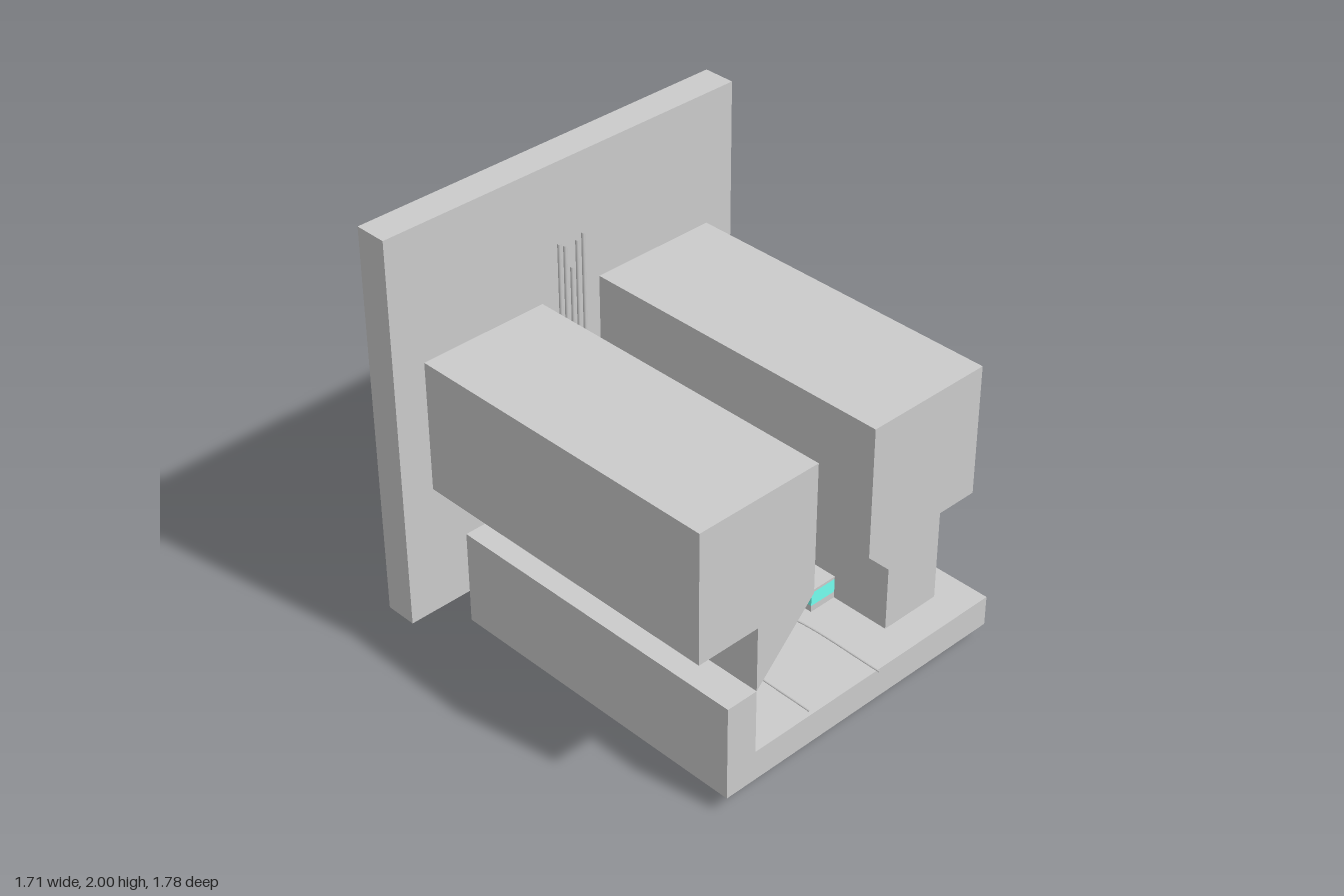
import * as THREE from 'three';

export function createModel() {
  const root = new THREE.Group();
  const grey = new THREE.MeshStandardMaterial({ color: 0xcccccc });
  const teal = new THREE.MeshStandardMaterial({ color: 0x74fff0 });

  const add = (name, geometry, material = grey) => {
    const mesh = new THREE.Mesh(geometry, material);
    mesh.name = name;
    root.add(mesh);
    return mesh;
  };
  // Box given by its limits on each axis
  const box = (name, [x0, x1], [y0, y1], [z0, z1], material) =>
    add(name, new THREE.BoxGeometry(x1 - x0, y1 - y0, z1 - z0), material)
      .position.set((x0 + x1) / 2, (y0 + y1) / 2, (z0 + z1) / 2);
  // Prism along x from a [z, y] outline
  const prism = (name, outline, x0, x1, material) => {
    const shape = new THREE.Shape(outline.map(([z, y]) => new THREE.Vector2(-z, y)));
    const geometry = new THREE.ExtrudeGeometry(shape, { depth: x1 - x0, bevelEnabled: false });
    geometry.rotateY(Math.PI / 2).translate(x0, 0, 0);
    return add(name, geometry, material);
  };
  const cylinder = (name, r, h, x, y, z, axis = 'y', material) => {
    const mesh = add(name, new THREE.CylinderGeometry(r, r, h, 32), material);
    mesh.position.set(x, y, z);
    if (axis === 'x') mesh.rotation.z = Math.PI / 2;
    if (axis === 'z') mesh.rotation.x = Math.PI / 2;
    return mesh;
  };
  // Straight runs joined by short rounded bends
  const pipe = (name, points, r) => {
    const p = points.map((q) => new THREE.Vector3(...q));
    const path = new THREE.CurvePath();
    let from = p[0];
    for (let i = 1; i < p.length - 1; i++) {
      const a = p[i].clone().add(p[i - 1].clone().sub(p[i]).setLength(0.03));
      const b = p[i].clone().add(p[i + 1].clone().sub(p[i]).setLength(0.03));
      path.add(new THREE.LineCurve3(from, a));
      path.add(new THREE.QuadraticBezierCurve3(a, p[i], b));
      from = b;
    }
    path.add(new THREE.LineCurve3(from, p[p.length - 1]));
    add(name, new THREE.TubeGeometry(path, 80, r, 8));
  };
  const cable = (points) => {
    const curve = new THREE.CatmullRomCurve3(points.map(([x, z]) => new THREE.Vector3(x, 0.23, z)));
    add('floorCable', new THREE.TubeGeometry(curve, 60, 0.004, 6));
  };

  // Room shell
  box('endWall', [-0.8, -0.655], [0.225, 2], [-0.89, 0.89]);
  box('floor', [-0.65, 0.83], [0.08, 0.22], [-0.89, 0.595]);
  box('sideWall', [-0.65, 0.83], [0.22, 0.52], [0.445, 0.595]);
  box('sideCabinet', [-0.21, 0.68], [0.22, 0.67], [-0.74, -0.445]);
  box('cornerColumn', [-0.86, -0.41], [0, 0.6], [-0.745, -0.445]);
  box('centreCabinet', [-0.655, -0.565], [0.22, 0.545], [-0.145, 0.15]);

  for (const s of [1, -1]) {
    // Overhead block with a slanted inner underside
    const outline = [[0.745, 1.41], [0.745, 0.82], [0.445, 0.82], [0.445, 0.52], [0.15, 0.82], [0.15, 1.41]];
    prism('overheadBlock', outline.map(([z, y]) => [z * s, y]), -0.65, 0.83);

    // Round lamp on the slanted face
    cylinder('slopeLamp', 0.125, 0.035, 0.1, 0.665, s * 0.29).rotation.x = s * Math.PI / 4;

    // Porthole on the end wall
    cylinder('portholeGlass', 0.036, 0.02, -0.647, 0.625, s * 0.08, 'x');
    const ring = add('portholeRing', new THREE.TorusGeometry(0.046, 0.009, 10, 36));
    ring.rotation.y = Math.PI / 2;
    ring.position.set(-0.645, 0.625, s * 0.08);

    // Low bench with a coloured cushion
    box('benchBase', [-0.4, 0.4], [0.22, 0.25], s > 0 ? [0.315, 0.445] : [-0.445, -0.31]);
    box('benchCushion', [-0.4, 0.4], [0.25, 0.315], s > 0 ? [0.315, 0.445] : [-0.445, -0.31], teal);
    box('benchTop', [-0.4, 0.4], [0.315, 0.327], s > 0 ? [0.315, 0.445] : [-0.445, -0.31]);
  }

  // Wall pipes fanning out below the clamp
  const X = -0.64, R = 0.008;
  pipe('wallPipe', [[X, 1.65, 0.063], [X, 0.84, 0.063], [X, 0.7, 0.203], [X, 0.44, 0.203], [X, 0.37, 0.203], [X, 0.37, 0.28]], R);
  pipe('wallPipe', [[X, 1.63, 0.033], [X, 0.82, 0.033], [X, 0.68, 0.173], [X, 0.4, 0.173]], R);
  pipe('wallPipe', [[X, 1.52, 0], [X, 0.54, 0]], R);
  pipe('wallPipe', [[X, 1.63, -0.03], [X, 0.82, -0.03], [X, 0.68, -0.17], [X, 0.43, -0.17], [X, 0.43, -0.25]], R);
  pipe('wallPipe', [[X, 1.65, -0.062], [X, 0.84, -0.062], [X, 0.52, -0.382], [X, 0.33, -0.382]], R);
  box('pipeClamp', [-0.66, -0.625], [0.845, 0.86], [-0.08, 0.08]);
  for (let i = -2; i <= 2; i++) cylinder('clampBolt', 0.006, 0.01, -0.63, 0.863, i * 0.03);

  // Pump on the left wall
  prism('pumpHousing', [[0.42, 0.26], [0.27, 0.26], [0.27, 0.52], [0.42, 0.52]], -0.65, -0.56);
  prism('pumpCover', [[0.405, 0.34], [0.275, 0.34], [0.275, 0.44], [0.31, 0.48], [0.37, 0.48], [0.405, 0.44]], -0.57, -0.53, teal);
  for (const y of [0.435, 0.415]) cylinder('pipeFlange', 0.03, 0.01, X, y, 0.2);
  for (const z of [0.235, 0.255]) cylinder('pipeFlange', 0.032, 0.01, X, 0.375, z, 'z');
  box('sidePanel', [-0.62, -0.3], [0.33, 0.5], [0.425, 0.447]);

  // Valve on the right wall
  cylinder('valvePipe', 0.028, 0.46, -0.62, 0.45, -0.25);
  for (const y of [0.34, 0.36, 0.495, 0.515]) cylinder('valveFlange', 0.048, 0.009, -0.62, y, -0.25);
  cylinder('valveHub', 0.012, 0.05, -0.585, 0.43, -0.25, 'x');
  cylinder('valveWheel', 0.05, 0.012, -0.56, 0.43, -0.25, 'x', teal);
  for (const y of [0.37, 0.41, 0.45]) cylinder('panelKnob', 0.015, 0.02, -0.15, y, -0.435, 'z');

  // Cables lying on the floor
  cable([[-0.57, -0.01], [-0.4, -0.06], [-0.22, -0.1], [0, -0.03], [0.1, 0.03], [0.18, 0.1], [0.3, 0.125], [0.82, 0.14]]);
  cable([[-0.57, 0.01], [-0.4, 0.005], [-0.3, 0.06], [-0.22, 0.145], [-0.12, 0.3]]);
  for (const d of [0, 0.025]) cable([[-0.32 + d, -0.28], [-0.26 + d, -0.15], [-0.2 + d, -0.03], [-0.12 + d, 0.08], [-0.01 + d, 0.145], [0.2, 0.2]]);
  cable([[-0.3, -0.3], [-0.11, -0.15], [0, -0.12], [0.12, -0.15], [0.4, -0.22], [0.85, -0.225]]);

  return root;
}
